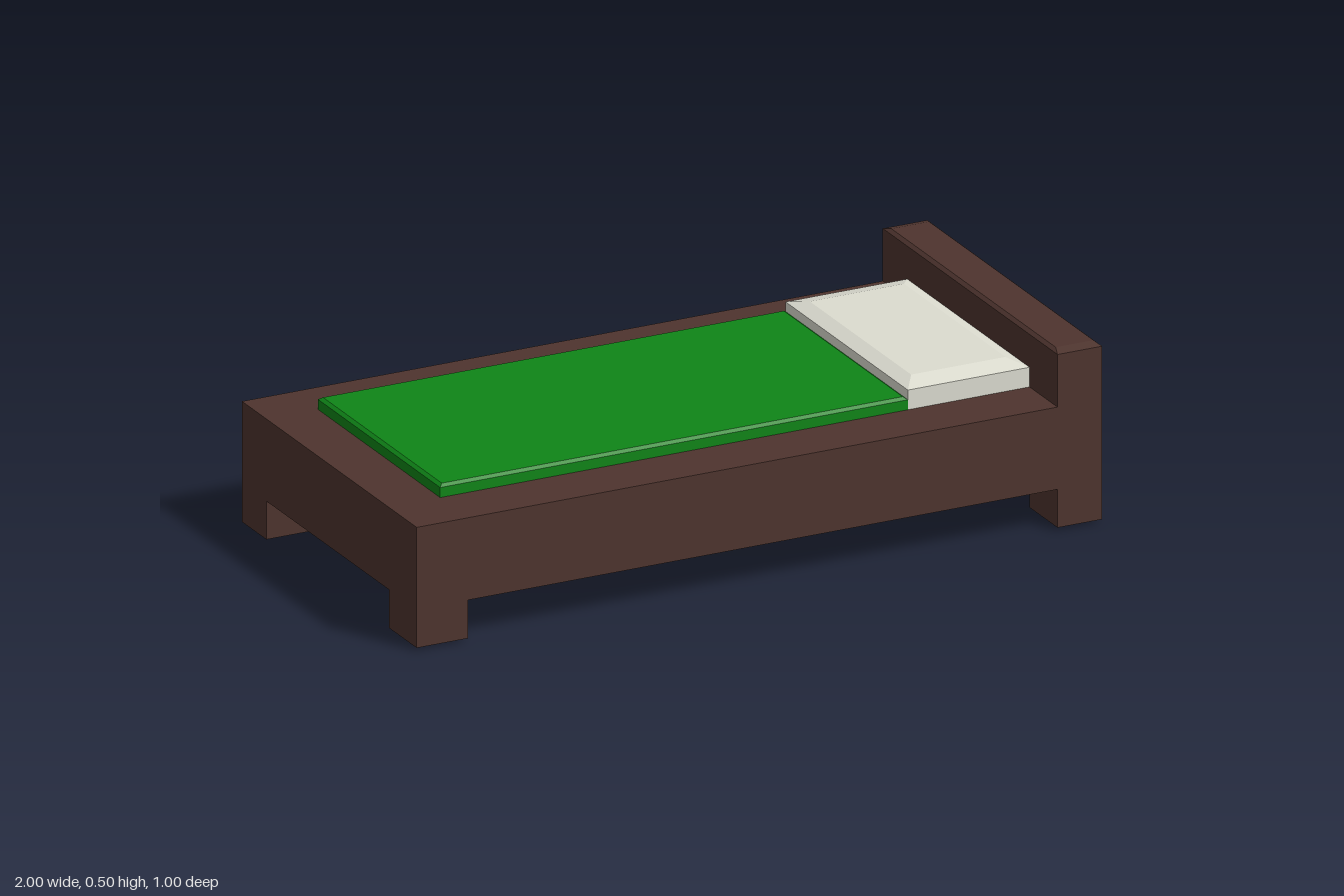
import * as THREE from 'three';

const wood = new THREE.MeshStandardMaterial({ color: 0x4e342e });
const green = new THREE.MeshStandardMaterial({ color: 0x0f8517 });
const linen = new THREE.MeshStandardMaterial({ color: 0xdcdcd0 });

// Box between two corners whose top (or bottom) end is chamfered
function chamferedBox(name, material, [x0, x1], [y0, y1], [z0, z1], bevel, insetX, insetZ, atTop = true) {
  const h = y1 - y0;
  const box = new THREE.BoxGeometry(x1 - x0, h, z1 - z0, 1, 2, 1);
  const p = box.attributes.position;
  const end = atTop ? 1 : -1;
  for (let i = 0; i < p.count; i++) {
    const y = p.getY(i);
    if (Math.abs(y) < 1e-6) p.setY(i, end * (h / 2 - bevel));
    else if (y * end > 0) {
      p.setX(i, p.getX(i) - Math.sign(p.getX(i)) * insetX);
      p.setZ(i, p.getZ(i) - Math.sign(p.getZ(i)) * insetZ);
    }
  }
  const geometry = box.toNonIndexed();
  geometry.computeVertexNormals();
  geometry.translate((x0 + x1) / 2, (y0 + y1) / 2, (z0 + z1) / 2);
  const mesh = new THREE.Mesh(geometry, material);
  mesh.name = name;
  return mesh;
}

function rectangle(PathType, x0, x1, y0, y1) {
  return new PathType([[x0, y0], [x1, y0], [x1, y1], [x0, y1]].map(([x, y]) => new THREE.Vector2(x, y)));
}

export function createModel() {
  const bed = new THREE.Group();
  bed.name = 'bed';

  // Frame: a deep rectangular ring around the mattress
  const outline = rectangle(THREE.Shape, -1, 1, -0.5, 0.5);
  outline.holes.push(rectangle(THREE.Path, -0.85, 0.87, -0.34, 0.36));
  const frameGeometry = new THREE.ExtrudeGeometry(outline, { depth: 0.23, bevelEnabled: false });
  frameGeometry.rotateX(-Math.PI / 2).translate(0, 0.115, 0);
  const frame = new THREE.Mesh(frameGeometry, wood);
  frame.name = 'frame';
  bed.add(frame);

  // Base board, recessed into the underside
  const base = new THREE.Mesh(new THREE.PlaneGeometry(1.72, 0.7).rotateX(Math.PI / 2), wood);
  base.name = 'baseBoard';
  base.position.set(0.01, 0.15, -0.01);
  bed.add(base);

  // Headboard
  bed.add(chamferedBox('headboard', wood, [0.87, 1], [0.345, 0.5], [-0.5, 0.5], 0.008, 0.01, 0.03));

  // Legs
  for (const [end, xs] of [['foot', [-1, -0.85]], ['head', [0.87, 1]]]) {
    for (const [side, zs] of [['Front', [0.34, 0.5]], ['Back', [-0.5, -0.36]]]) {
      bed.add(chamferedBox(`${end}${side}Leg`, wood, xs, [0, 0.115], zs, 0.008, 0.01, 0.025, false));
    }
  }

  // Bedding
  bed.add(chamferedBox('blanket', green, [-0.85, 0.515], [0.345, 0.38], [-0.36, 0.34], 0.007, 0.01, 0.01));
  bed.add(chamferedBox('pillow', linen, [0.515, 0.87], [0.345, 0.415], [-0.36, 0.34], 0.015, 0.04, 0.06));
  return bed;
}
